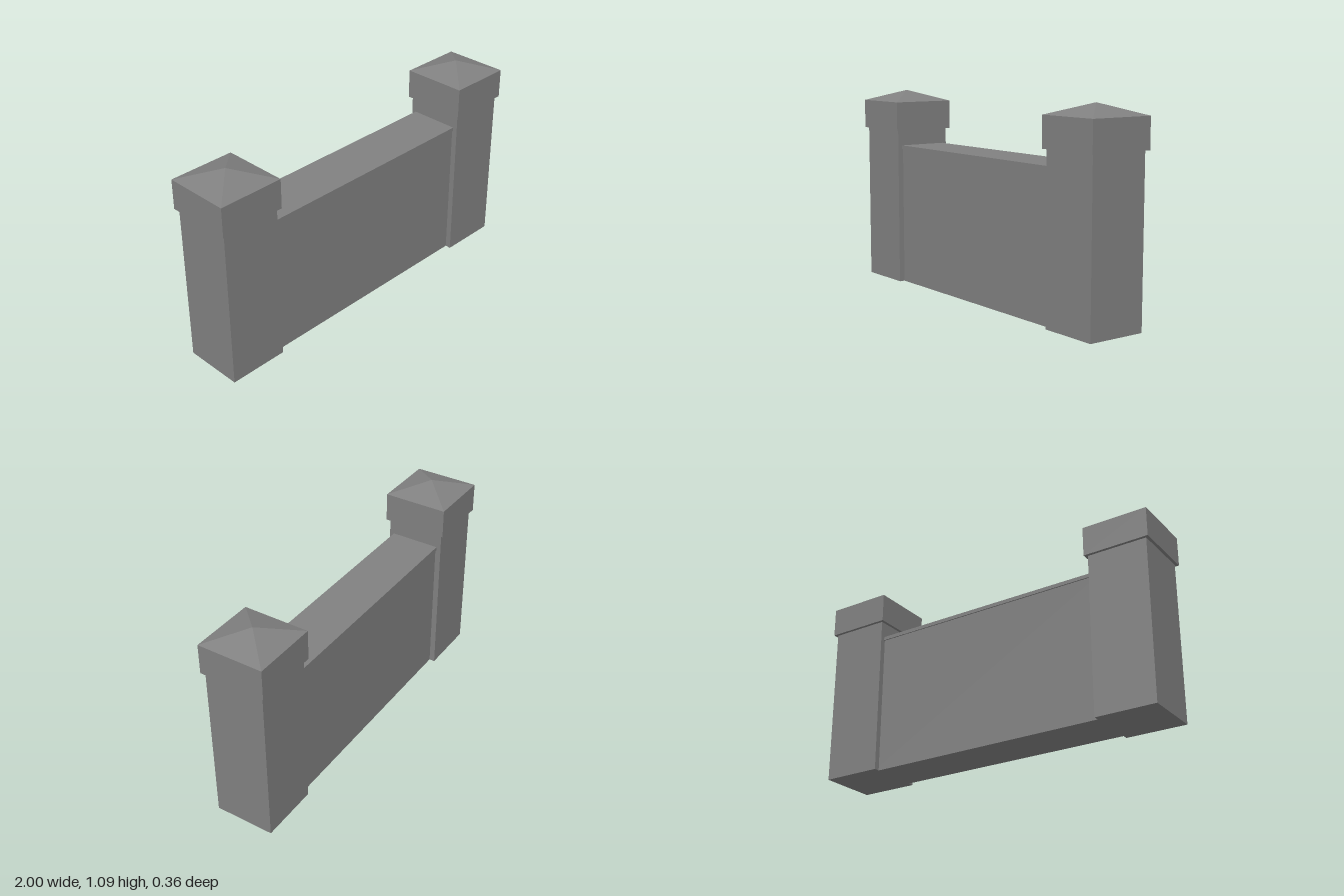
import * as THREE from 'three';

export function createModel() {
  const model = new THREE.Group();
  const stone = new THREE.MeshStandardMaterial({ color: 0x808080 });
  stone.name = 'grey stone';

  const add = (parent, name, geometry, y) => {
    const mesh = new THREE.Mesh(geometry, stone);
    mesh.name = name;
    mesh.position.y = y;
    parent.add(mesh);
  };
  // Box standing on height y0 and reaching y1
  const block = (parent, name, w, d, y0, y1) =>
    add(parent, name, new THREE.BoxGeometry(w, y1 - y0, d), (y0 + y1) / 2);

  // Wall with a slightly overhanging coping, both ending inside the pillars
  block(model, 'wall', 1.4, 0.262, 0, 0.765);
  block(model, 'coping', 1.4, 0.274, 0.765, 0.785);

  // Four-sided roof with crisp faces
  const capSize = 0.356;
  const roof = new THREE.ConeGeometry(capSize / Math.SQRT2, 0.06, 4, 1, true)
    .rotateY(Math.PI / 4).toNonIndexed();
  roof.computeVertexNormals();

  // Matching pillars at both ends
  for (const [side, name] of [[1, 'leftPillar'], [-1, 'rightPillar']]) {
    const pillar = new THREE.Group();
    pillar.name = name;
    pillar.position.x = side * (1 - capSize / 2);
    block(pillar, 'shaft', 0.324, 0.324, 0, 0.87);
    block(pillar, 'cap', capSize, capSize, 0.87, 1.03);
    add(pillar, 'capRoof', roof, 1.06);
    model.add(pillar);
  }
  return model;
}
